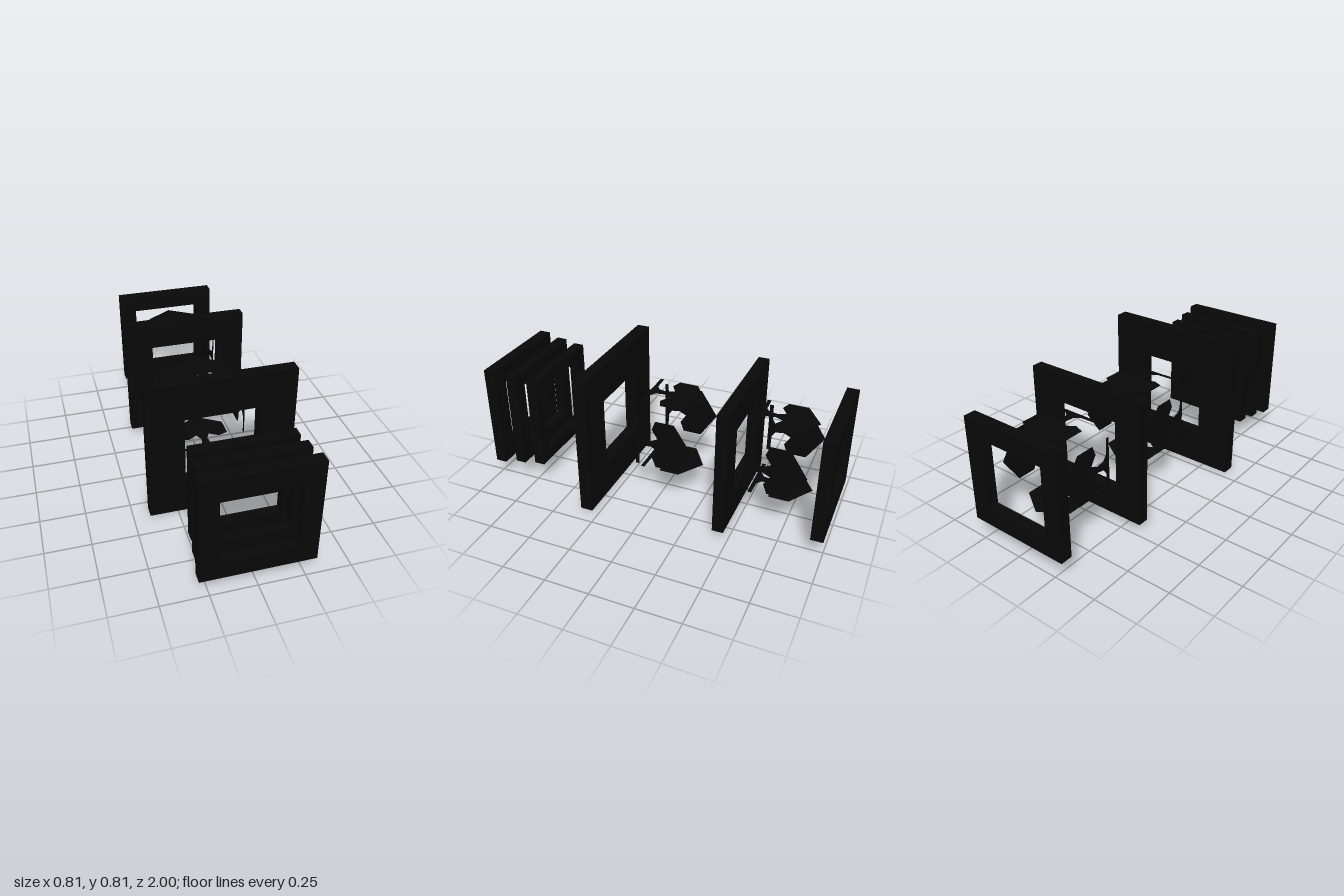
import * as THREE from 'three';

const CENTRE_Y = 0.407;
const HOLE = 0.204; // half size of every opening

// Square frame with a square opening, from z0 to z1
function frameGeometry(half, z0, z1) {
  const square = (Type, h) => new Type([[-h, -h], [h, -h], [h, h], [-h, h]].map(([x, y]) => new THREE.Vector2(x, y)));
  const shape = square(THREE.Shape, half);
  shape.holes.push(square(THREE.Path, HOLE));
  const geometry = new THREE.ExtrudeGeometry(shape, { depth: z1 - z0, bevelEnabled: false });
  return geometry.translate(0, 0, z0);
}

// Flat tree cut-out lying in the xz plane, tip toward -z
function treeGeometry() {
  const half = [
    [0.148, -0.104], [0.148, -0.083], [0.055, -0.08], [0.026, -0.06], [0.018, -0.012],
    [0.038, 0.03], [0.092, -0.004], [0.148, 0.017], [0.148, 0.127],
  ];
  const outline = [
    ...half, [0, 0.224],
    ...half.slice().reverse().map(([x, y]) => [-x, y]),
  ].map(([x, y]) => new THREE.Vector2(x, y));
  return new THREE.ShapeGeometry(new THREE.Shape(outline)).rotateX(-Math.PI / 2);
}

export function createModel() {
  const model = new THREE.Group();
  model.name = 'frameTunnel';
  const frameMaterial = new THREE.MeshStandardMaterial({ color: 0x080808 });
  const treeMaterial = new THREE.MeshStandardMaterial({ color: 0x080808, side: THREE.DoubleSide });

  // Frames: name, half size, back z, front z
  const frames = [
    ['frontFrame', 0.303, 0.934, 1],
    ['secondFrame', 0.286, 0.806, 0.868],
    ['thirdFrame', 0.274, 0.682, 0.744],
    ['largeFrame', 0.407, 0.295, 0.367],
    ['fifthFrame', 0.359, -0.476, -0.412],
    ['backFrame', 0.3, -1, -0.931],
  ];
  for (const [name, half, z0, z1] of frames) {
    const frame = new THREE.Mesh(frameGeometry(half, z0, z1), frameMaterial);
    frame.name = name;
    frame.position.y = CENTRE_Y;
    model.add(frame);
  }

  // Two rings of four cut-outs around the passage
  const tree = treeGeometry().translate(0, 0.212, 0);
  const sides = ['top', 'left', 'bottom', 'right'];
  [['middle', 0], ['rear', -0.641]].forEach(([ringName, z]) => {
    const ring = new THREE.Group();
    ring.name = ringName + 'TreeRing';
    ring.position.set(0, CENTRE_Y + 0.004, z);
    sides.forEach((side, i) => {
      const cutout = new THREE.Mesh(tree, treeMaterial);
      cutout.name = side + 'TreeCutout';
      cutout.rotation.z = -i * Math.PI / 2;
      ring.add(cutout);
    });
    model.add(ring);
  });

  return model;
}
